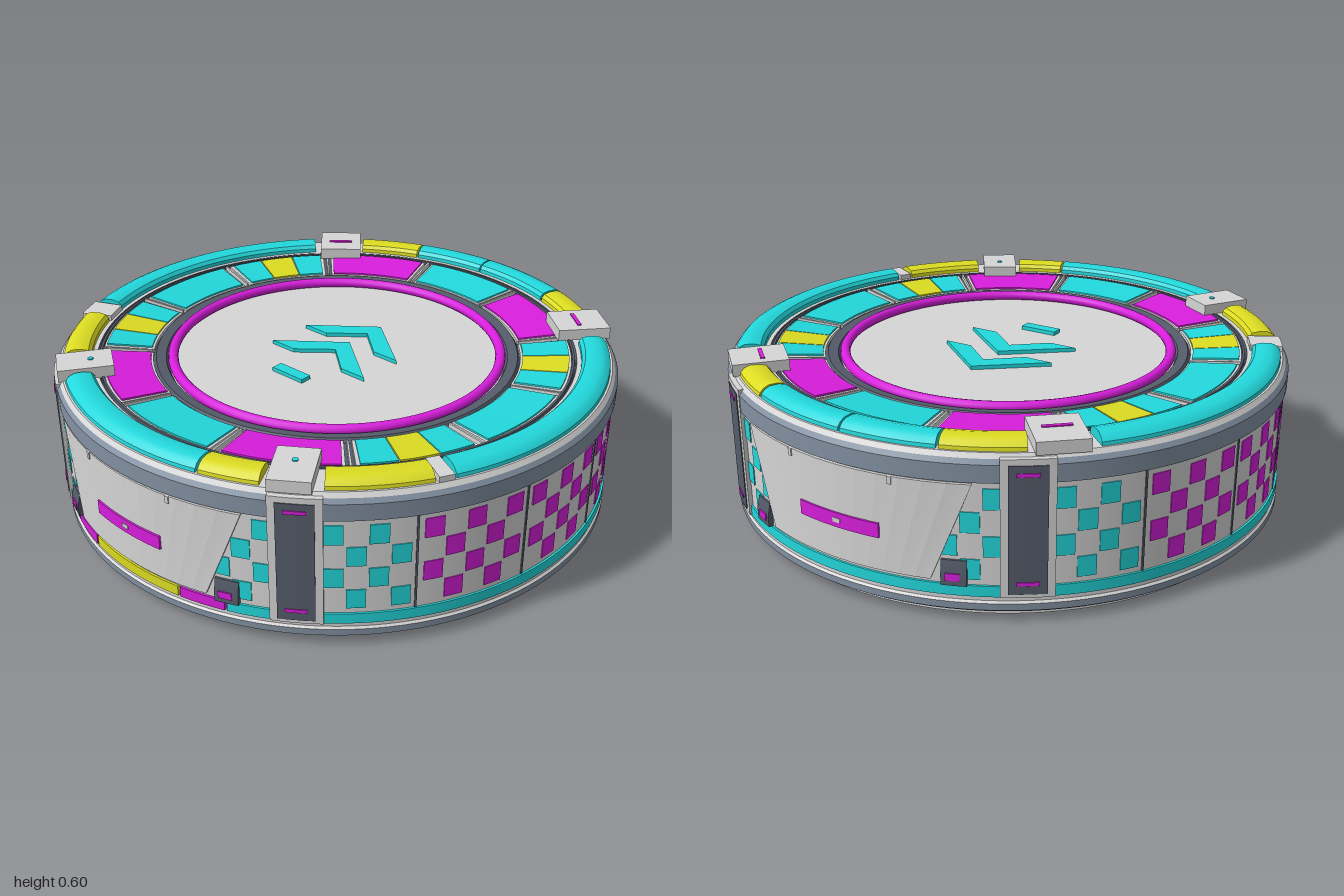
import * as THREE from 'three';
import { mergeGeometries, toCreasedNormals } from 'three/addons/utils/BufferGeometryUtils.js';

const D = Math.PI / 180;
const mat = (name, color) => {
  const m = new THREE.MeshStandardMaterial({ color });
  m.name = name;
  return m;
};

// Curved block: a closed (radius, height) profile swept from angle a0 to a1 (degrees, 0 = front).
// bend(angle, y) may reshape the angle along the height.
function sector(profile, a0, a1, bend) {
  const shape = new THREE.Shape(profile.map(([r, y]) => new THREE.Vector2(r, y)));
  const steps = Math.max(1, Math.ceil((a1 - a0) / 3));
  const g = new THREE.ExtrudeGeometry(shape, { depth: 1, steps, bevelEnabled: false });
  const p = g.attributes.position;
  for (let i = 0; i < p.count; i++) {
    const r = p.getX(i), y = p.getY(i);
    let a = a1 - p.getZ(i) * (a1 - a0);
    if (bend) a = bend(a, y);
    p.setXYZ(i, r * Math.sin(a * D), y, r * Math.cos(a * D));
  }
  g.deleteAttribute('uv');
  return toCreasedNormals(g, 0.5);
}
const rect = (r0, r1, y0, y1) => [[r0, y0], [r1, y0], [r1, y1], [r0, y1]];
const plate = (r0, r1, y0, y1, a0, a1) => sector(rect(r0, r1, y0, y1), a0, a1);

export function createModel() {
  const model = new THREE.Group();
  const light = mat('light grey', 0xd6d6d6);
  const mid = mat('steel blue', 0x8391a2);
  const dark = mat('dark slate', 0x555c6a);
  const cyan = mat('cyan', 0x22d8dc);
  const magenta = mat('magenta', 0xd81edc);
  const yellow = mat('yellow', 0xdcdc22);

  const add = (name, geo, material, parent = model) => {
    const m = new THREE.Mesh(Array.isArray(geo) ? mergeGeometries(geo) : geo, material);
    m.name = name;
    parent.add(m);
    return m;
  };
  const lathe = (name, pts, material) =>
    add(name, toCreasedNormals(new THREE.LatheGeometry(pts.map(([r, y]) => new THREE.Vector2(r, y)), 120), 0.4), material);

  // Body rings, bottom to top
  lathe('foot', [[0, 0.005], [0.945, 0.005], [0.945, 0.032]], light);
  lathe('lowerRing', [[0.94, 0.032], [0.975, 0.032], [0.992, 0.045], [0.992, 0.068]], mid);
  lathe('lowerLip', [[0.992, 0.068], [0.985, 0.075], [0.985, 0.092]], light);
  lathe('wall', [[0.983, 0.125], [0.983, 0.47]], light);
  lathe('upperBand', [[0.98, 0.468], [0.994, 0.472], [0.994, 0.53], [0.983, 0.545]], mid);
  lathe('topRim', [[0.983, 0.545], [0.972, 0.56], [0.85, 0.56]], light);
  lathe('funnel', [[0.85, 0.56], [0.845, 0.545], [0.655, 0.53], [0.645, 0.545], [0.61, 0.54], [0.6, 0.52]], dark);
  lathe('funnelLip', [[0.842, 0.546], [0.842, 0.562], [0.834, 0.562], [0.834, 0.545]], dark);
  lathe('disc', [[0.6, 0.52], [0, 0.52]], light);
  const ring = add('innerRing', new THREE.TorusGeometry(0.585, 0.018, 12, 120), magenta);
  ring.rotation.x = Math.PI / 2;
  ring.position.y = 0.54;

  // Lower coloured band, with accents across the front
  const band = rect(0.96, 0.99, 0.09, 0.127);
  add('lowerBand', sector(band, 22, 338), cyan);
  add('lowerBandAccent', [sector(band, 12.2, 21.5), sector(band, -21.5, -12.2)], magenta);
  add('lowerBandCenter', sector(band, -11.7, 11.7), yellow);

  // Arrow marks on the disc
  const flat = (pts) => {
    const g = new THREE.ExtrudeGeometry(new THREE.Shape(pts.map(([x, z]) => new THREE.Vector2(x, -z))),
      { depth: 0.014, bevelEnabled: false });
    return g.rotateX(-Math.PI / 2).translate(0, 0.52, 0);
  };
  const chevron = (z) => flat([[0, z], [0.22, z + 0.175], [0.115, z + 0.175], [0, z + 0.078],
    [-0.115, z + 0.175], [-0.22, z + 0.175]]);
  add('chevrons', [chevron(-0.245), chevron(-0.07)], cyan);
  add('dashMark', flat([[-0.07, 0.215], [0.07, 0.215], [0.07, 0.258], [-0.07, 0.258]]), cyan);

  // Twelve sloped tiles round the disc
  const tileProfile = (r0, r1, h) => {
    const y = (r) => 0.53 + (r - 0.655) * 0.08 + h;
    return [[r0, 0.525], [r1, 0.53], [r1, y(r1)], [r0, y(r0)]];
  };
  const tile = tileProfile(0.663, 0.824, 0.018);
  const tiles = { cyan: [], magenta: [], yellow: [], back: [], spoke: [] };
  for (let i = 0; i < 12; i++) {
    const a = i * 30;
    tiles.back.push(sector(tileProfile(0.655, 0.832, 0.012), a - 13.9, a + 13.9));
    tiles.spoke.push(sector(tileProfile(0.66, 0.835, 0.016), a + 14.75, a + 15.25));
    if (i % 3 === 0) tiles.cyan.push(sector(tile, a - 13.2, a + 13.2));
    else if (a % 180 === 30 || a % 180 === 150) tiles.magenta.push(sector(tile, a - 13.2, a + 13.2));
    else {
      tiles.cyan.push(sector(tile, a - 13, a - 4.8), sector(tile, a + 4.8, a + 13));
      tiles.yellow.push(sector(tile, a - 4.5, a + 4.5));
    }
  }
  add('tileFrames', tiles.back, light);
  add('tileSpokes', tiles.spoke, light);
  add('cyanTiles', tiles.cyan, cyan);
  add('magentaTiles', tiles.magenta, magenta);
  add('yellowTiles', tiles.yellow, yellow);

  // Rounded cushions on the outer rim
  const cushion = [[0.865, 0.555], [0.966, 0.555], [0.963, 0.572], [0.95, 0.585], [0.932, 0.593],
    [0.9, 0.593], [0.877, 0.587], [0.866, 0.574]];
  const arcs = (list) => list.map(([a, b]) => sector(cushion, a, b));
  add('cyanCushions', arcs([[-29, 16.3], [63.5, 131], [157, 179.8], [180.2, 199], [228, 293]]), cyan);
  add('yellowCushions', arcs([[16.8, 28.5], [40, 59.5], [144, 156.4], [199.5, 215], [300.5, 320]]), yellow);
  add('cushionClips', [plate(0.86, 0.972, 0.555, 0.58, 60, 63), plate(0.86, 0.972, 0.555, 0.58, 293.5, 300)], light);

  // Corner brackets on the rim
  for (const a of [34, -34, 139, -139]) {
    const back = Math.abs(a) > 90;
    const g = new THREE.Group();
    g.name = 'rimBracket';
    g.rotation.y = a * D;
    add('bracketPlate', new THREE.BoxGeometry(back ? 0.165 : 0.135, 0.042, 0.19).translate(0, 0.578, 0.89), light, g);
    if (back) add('bracketMark', new THREE.BoxGeometry(0.095, 0.006, 0.014).translate(0, 0.6, 0.88), magenta, g);
    else add('bracketBolt', new THREE.CylinderGeometry(0.01, 0.01, 0.006, 12).translate(0, 0.6, 0.87), cyan, g);
    model.add(g);
  }

  // Four pillars on the wall
  const frames = [], cores = [], marks = [];
  for (const a of [35, 145, 215, 325]) {
    frames.push(plate(0.96, 0.997, 0.092, 0.55, a - 4.8, a + 4.8));
    cores.push(plate(0.98, 1.0, 0.105, 0.53, a - 3.4, a + 3.4));
    for (const y of [0.135, 0.495]) marks.push(plate(0.99, 1.003, y, y + 0.012, a - 2, a + 2));
  }
  add('pillarFrames', frames, light);
  add('pillarCores', cores, dark);
  add('pillarMarks', marks, magenta);

  // Chequered wall panels on both sides, with seams between them
  const checks = { cyan: [], magenta: [] }, seams = [];
  const checker = (out, start, pitch, cols) => {
    for (let row = 0; row < 4; row++) {
      for (let c = 0; c < cols; c++) {
        if ((row + c) % 2) continue;
        const a = start + c * pitch, y = 0.45 - row * 0.0785;
        out.push(plate(0.98, 0.986, y - 0.069, y, a + pitch * 0.06, a + pitch * 0.94));
      }
    }
  };
  for (const side of [90, 270]) {
    for (const off of [-22.5, 0, 22.5]) checker(checks.magenta, side + off - 10.2, 4.1, 5);
    for (const s of [-1, 1]) {
      checker(checks.cyan, side + s * 42.5 - 8, 4, 4);
      checker(checks.cyan, side + s * 65 - 6, 4, 3);
      for (const e of [11.25, 33.75]) seams.push(plate(0.98, 0.986, 0.127, 0.47, side + s * e - 0.2, side + s * e + 0.2));
    }
  }
  add('magentaChecks', checks.magenta, magenta);
  add('cyanChecks', checks.cyan, cyan);
  add('panelSeams', seams, dark);

  // Tapered hatches, front and back
  const taper = (a, y) => a * (18 + (7.6 * (y - 0.14)) / 0.33);
  for (const turn of [0, Math.PI]) {
    const g = new THREE.Group();
    g.name = 'hatch';
    g.rotation.y = turn;
    const hatch = [];
    for (let i = 0; i < 12; i++) {
      hatch.push(sector(rect(0.97, 0.993, 0.14, 0.465), -1 + i / 6, -1 + (i + 1) / 6, taper));
    }
    add('hatchPlate', hatch, light, g);
    add('hatchHandle', plate(0.985, 0.999, 0.253, 0.302, -8.7, 8.7), magenta, g);
    add('hatchKeyhole', plate(0.99, 1.001, 0.27, 0.285, -0.8, 0.8), light, g);
    const clamps = [], clampMarks = [], notches = [];
    for (const s of [-1, 1]) {
      clamps.push(sector([[0.96, 0.128], [1.0, 0.128], [1.0, 0.165], [0.99, 0.21], [0.96, 0.21]], s * 22.2 - 2.3, s * 22.2 + 2.3));
      clampMarks.push(plate(0.99, 1.003, 0.145, 0.17, s * 22 - 1.3, s * 22 + 1.3));
      notches.push(plate(0.98, 0.996, 0.44, 0.465, s * 11 - 0.4, s * 11 + 0.4));
    }
    add('hatchClamps', clamps, dark, g);
    add('clampMarks', clampMarks, magenta, g);
    add('hatchNotches', notches, light, g);
    model.add(g);
  }
  return model;
}
